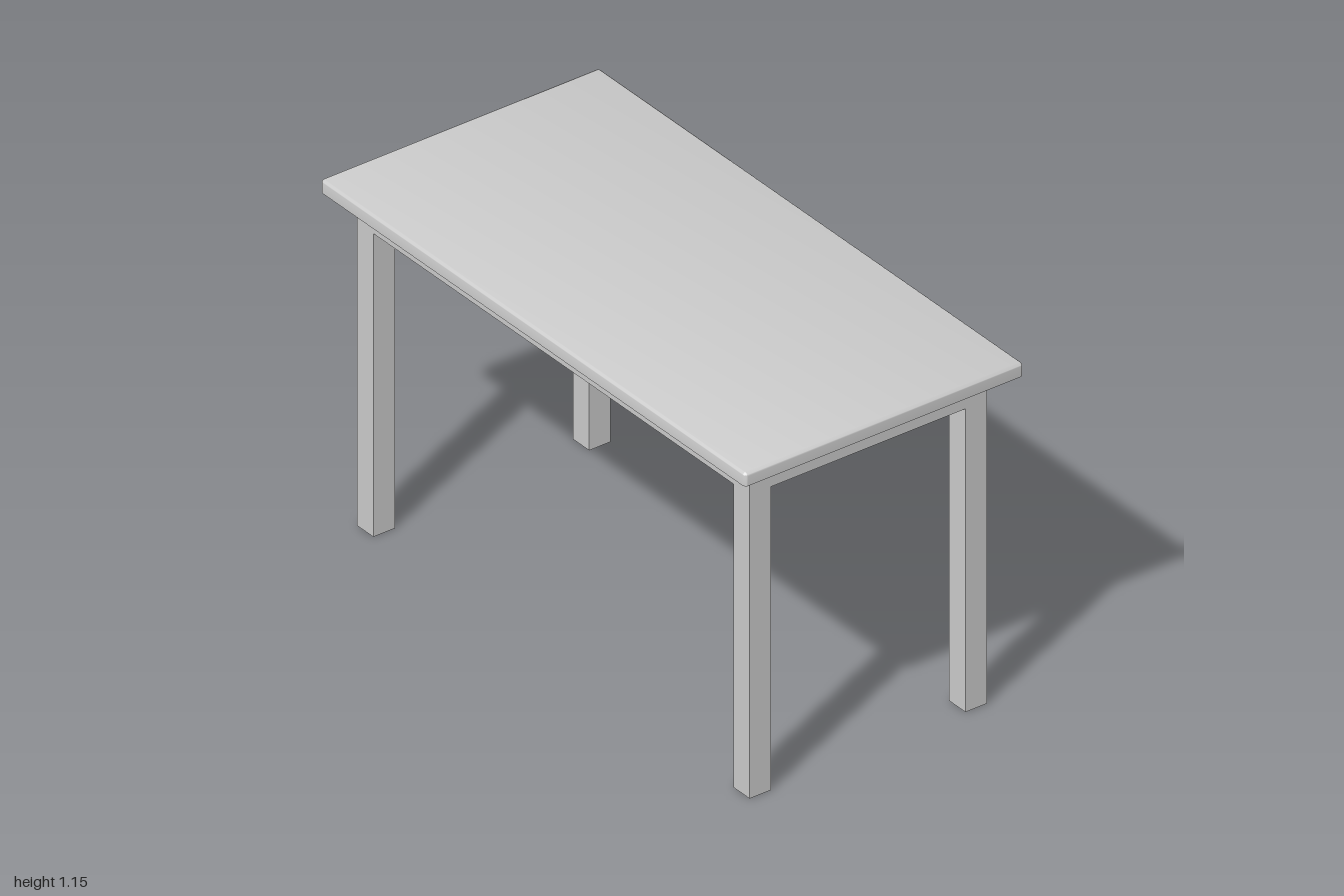
import * as THREE from 'three';
import { RoundedBoxGeometry } from 'three/addons/geometries/RoundedBoxGeometry.js';
import { toCreasedNormals } from 'three/addons/utils/BufferGeometryUtils.js';

const LEG = 0.077;              // leg and apron thickness
const OUT_X = 0.424, OUT_Z = 0.924; // outer faces of the frame
const APRON_Y = 1.016, UNDER = 1.108, TOP = 1.152;

export function createModel() {
  const group = new THREE.Group();
  const material = new THREE.MeshStandardMaterial({ color: 0xcccccc });

  const add = (name, geometry, x, y, z) => {
    const mesh = new THREE.Mesh(geometry, material);
    mesh.name = name;
    mesh.position.set(x, y, z);
    group.add(mesh);
  };

  // Table top: rounded upper rim and corners, flat sharp underside
  const radius = 0.012;
  const height = TOP - UNDER + radius;
  const slab = new RoundedBoxGeometry(0.996, height, 2, 4, radius);
  const pos = slab.attributes.position;
  const floor = -height / 2 + radius;
  for (let i = 0; i < pos.count; i++) pos.setY(i, Math.max(pos.getY(i), floor));
  add('tableTop', toCreasedNormals(slab, 0.7), 0, TOP - height / 2, 0);

  const cx = OUT_X - LEG / 2, cz = OUT_Z - LEG / 2;
  const apronH = UNDER - APRON_Y, apronY = (UNDER + APRON_Y) / 2;

  // Four square legs, flush with the aprons
  const leg = new THREE.BoxGeometry(LEG, UNDER, LEG);
  for (const [sx, side] of [[1, 'Left'], [-1, 'Right']])
    for (const [sz, end] of [[1, 'front'], [-1, 'back']])
      add(`${end}${side}Leg`, leg, sx * cx, UNDER / 2, sz * cz);

  // Aprons between the legs
  const endApron = new THREE.BoxGeometry(2 * (OUT_X - LEG), apronH, LEG);
  const sideApron = new THREE.BoxGeometry(LEG, apronH, 2 * (OUT_Z - LEG));
  add('frontApron', endApron, 0, apronY, cz);
  add('backApron', endApron, 0, apronY, -cz);
  add('leftApron', sideApron, cx, apronY, 0);
  add('rightApron', sideApron, -cx, apronY, 0);

  return group;
}
